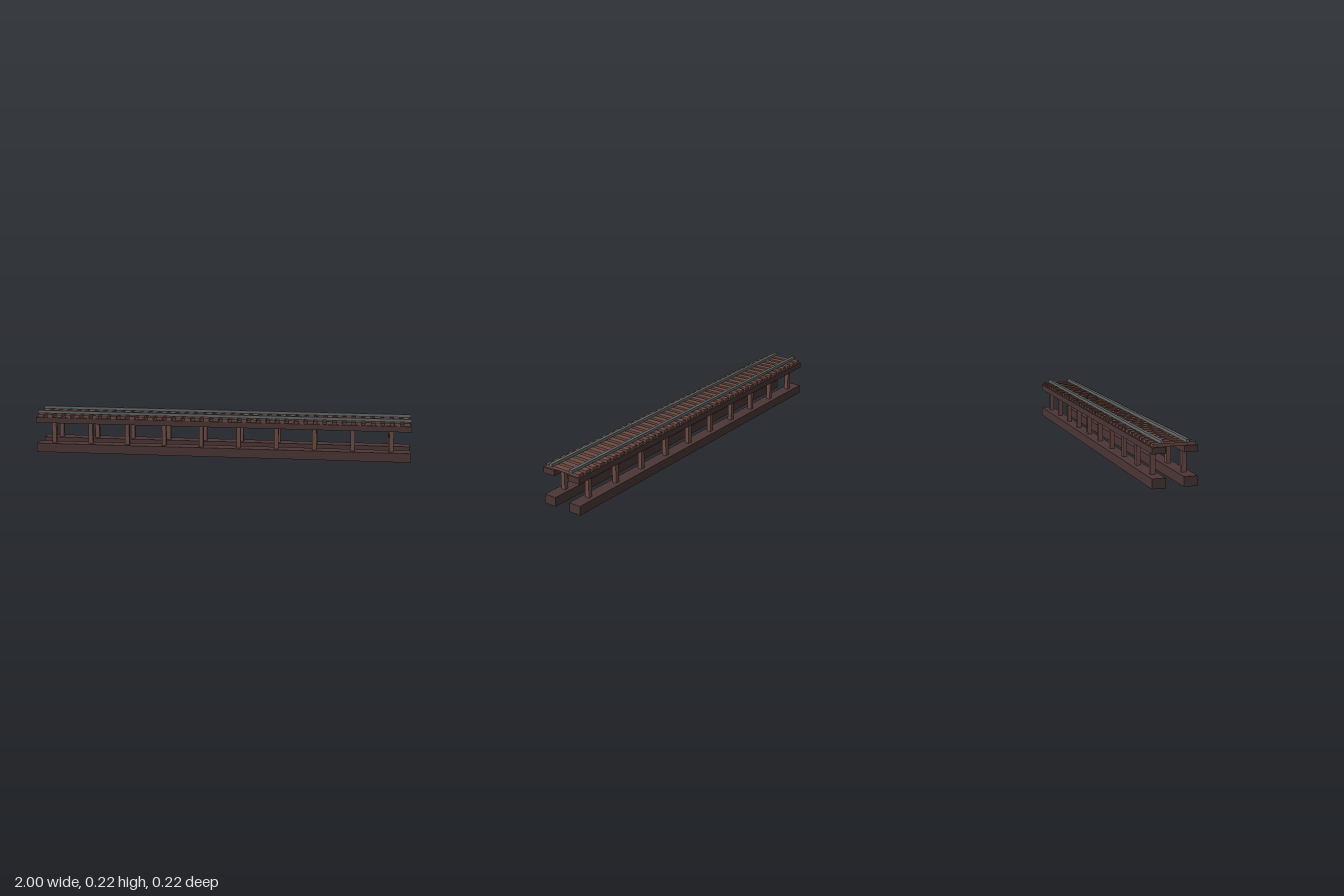
import * as THREE from 'three';

const material = (color) => new THREE.MeshStandardMaterial({ color, flatShading: true });

export function createModel() {
  const model = new THREE.Group();
  const darkWood = material(0x4b3636);
  const wood = material(0x6d4c44);
  const steel = material(0x646a6a);

  // Box given by its centre in x and z, and its bottom and top heights
  const addBox = (parent, name, mat, width, bottom, top, depth, x, z) => {
    const mesh = new THREE.Mesh(new THREE.BoxGeometry(width, top - bottom, depth), mat);
    mesh.name = name;
    mesh.position.set(x, (bottom + top) / 2, z);
    parent.add(mesh);
  };

  // Two girders: lower and upper beams joined by posts, with a rail above each
  for (const [side, s] of [['front', 1], ['back', -1]]) {
    const girder = new THREE.Group();
    girder.name = side + 'Girder';
    addBox(girder, 'lowerBeam', darkWood, 2, 0, 0.048, 0.067, 0, s * 0.0775);
    addBox(girder, 'upperBeam', darkWood, 2, 0.161, 0.191, 0.067, 0, s * 0.0775);
    for (let i = 0; i < 10; i++) {
      addBox(girder, 'post', wood, 0.023, 0.048, 0.161, 0.023, -0.907 + i * 0.2005, s * 0.0765);
    }
    model.add(girder);
    addBox(model, side + 'Rail', steel, 2, 0.206, 0.221, 0.016, 0, s * 0.0615);
  }

  // Cross ties between girders and rails
  const ties = new THREE.Group();
  ties.name = 'crossTies';
  for (let i = 0; i < 40; i++) {
    addBox(ties, 'crossTie', wood, 0.031, 0.191, 0.206, 0.208, -0.975 + i * 0.05, 0);
  }
  model.add(ties);

  return model;
}
